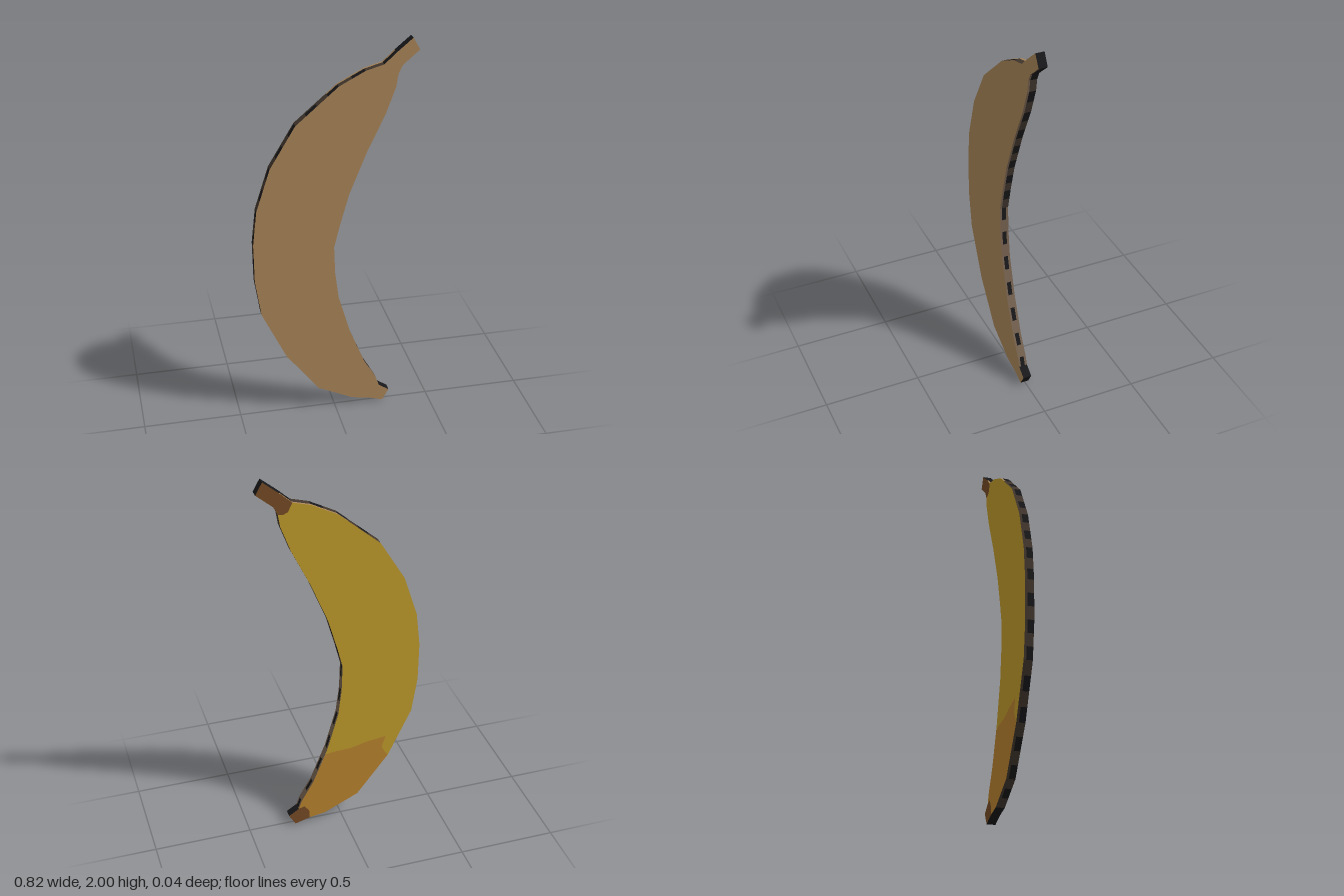
import * as THREE from 'three';

const HALF = 0.022; // half thickness of the flat fruit

// Outline, clockwise from the stem tip: inner curve down, outer curve back up
const P = [
  [0.373, 2], [0.407, 1.94], [0.325, 1.87], [0.305, 1.83], [0.295, 1.765], [0.246, 1.63],
  [0.156, 1.44], [0.07, 1.225], [0.025, 1.065], [-0.005, 0.943], [0, 0.8], [0.018, 0.657],
  [0.077, 0.45], [0.156, 0.254], [0.22, 0.143], [0.237, 0.095], [0.29, 0.06], [0.256, 0],
  [0.177, 0.024], [0.093, 0.037], [-0.087, 0.122], [-0.254, 0.339], [-0.378, 0.6], [-0.407, 0.79],
  [-0.41, 0.996], [-0.39, 1.176], [-0.32, 1.394], [-0.193, 1.606], [0.018, 1.788], [0.146, 1.855],
  [0.235, 1.88], [0.294, 1.934],
];

// Borders between the coloured areas of the back
const STEM_EDGE = [[0.257, 1.835], [0.28, 1.825]];
const RIPE_EDGE = [[0.088, 0.42], [0.03, 0.427], [-0.05, 0.43], [-0.13, 0.45], [-0.24, 0.465], [-0.22, 0.4], [-0.235, 0.37]];
const TIP_EDGE = [[0.18, 0.07], [0.205, 0.105]];

function material(name, color) {
  const m = new THREE.MeshStandardMaterial({ color });
  m.name = name;
  return m;
}

function flatShape(points, sign) {
  const shape = new THREE.Shape(points.map(([x, y]) => new THREE.Vector2(x * sign, y)));
  const geometry = new THREE.ShapeGeometry(shape);
  if (sign < 0) geometry.rotateY(Math.PI);
  return geometry.translate(0, 0, HALF * sign);
}

// Picks the mottled colour of one patch of the rim; band 0 is at the back, 2 at the front
function rimColour(edge, x, y, band, step) {
  const odd = step % 2 === 1;
  if (edge <= 1 || edge === 31) return band === 2 && edge === 1 ? 'umber' : 'black';
  if (edge >= 15 && edge <= 18) return 'black';
  if (edge < 15) {
    if (y < 0.95) return band === 1 && odd ? 'black' : 'taupe';
    if (band === 2) return 'taupe';
    return odd ? 'black' : 'umber';
  }
  if (x > -0.05 && y > 1) {
    if (band === 0) return 'tan';
    return odd ? 'black' : 'umber';
  }
  return odd && band > 0 ? 'black' : 'umber';
}

export function createModel() {
  const group = new THREE.Group();
  group.name = 'banana';
  const mats = {
    tan: material('tan', 0xac875a),
    yellow: material('yellow', 0xbe9a2b),
    orange: material('orange', 0xb9822f),
    brown: material('brown', 0x754a24),
    umber: material('umber', 0x42372e),
    taupe: material('taupe', 0x75614f),
    black: material('black', 0x18181a),
  };
  const add = (name, geometry, mat) => {
    const mesh = new THREE.Mesh(geometry, mat);
    mesh.name = name;
    group.add(mesh);
  };

  // Plain front and four coloured areas on the back
  add('frontFace', flatShape(P, 1), mats.tan);
  add('backStem', flatShape([...P.slice(0, 4), ...[...STEM_EDGE].reverse(), ...P.slice(30)], -1), mats.brown);
  add('backPeel', flatShape([...P.slice(3, 13), ...RIPE_EDGE, ...P.slice(21, 31), ...STEM_EDGE], -1), mats.yellow);
  add('backRipeEnd', flatShape([...P.slice(13, 16), ...[...TIP_EDGE].reverse(), ...P.slice(18, 22), ...[...RIPE_EDGE].reverse()], -1), mats.orange);
  add('backTip', flatShape([...P.slice(15, 19), ...TIP_EDGE], -1), mats.brown);

  // Mottled rim: each outline edge cut into short patches and three bands
  const bands = [-HALF, -0.01, 0.012, HALF];
  const patches = {};
  let step = 0;
  P.forEach((a, edge) => {
    const b = P[(edge + 1) % P.length];
    const count = Math.max(1, Math.round(Math.hypot(b[0] - a[0], b[1] - a[1]) / 0.065));
    for (let i = 0; i < count; i++, step++) {
      const at = (t) => [a[0] + (b[0] - a[0]) * t, a[1] + (b[1] - a[1]) * t];
      const p = at(i / count), q = at((i + 1) / count);
      for (let k = 0; k < 3; k++) {
        const colour = rimColour(edge, p[0], p[1], k, step);
        const p0 = [...p, bands[k]], p1 = [...p, bands[k + 1]];
        const q0 = [...q, bands[k]], q1 = [...q, bands[k + 1]];
        (patches[colour] ??= []).push(...p0, ...p1, ...q1, ...p0, ...q1, ...q0);
      }
    }
  });
  for (const [colour, positions] of Object.entries(patches)) {
    const geometry = new THREE.BufferGeometry();
    geometry.setAttribute('position', new THREE.Float32BufferAttribute(positions, 3));
    geometry.computeVertexNormals();
    add(colour + 'RimPatches', geometry, mats[colour]);
  }
  return group;
}
